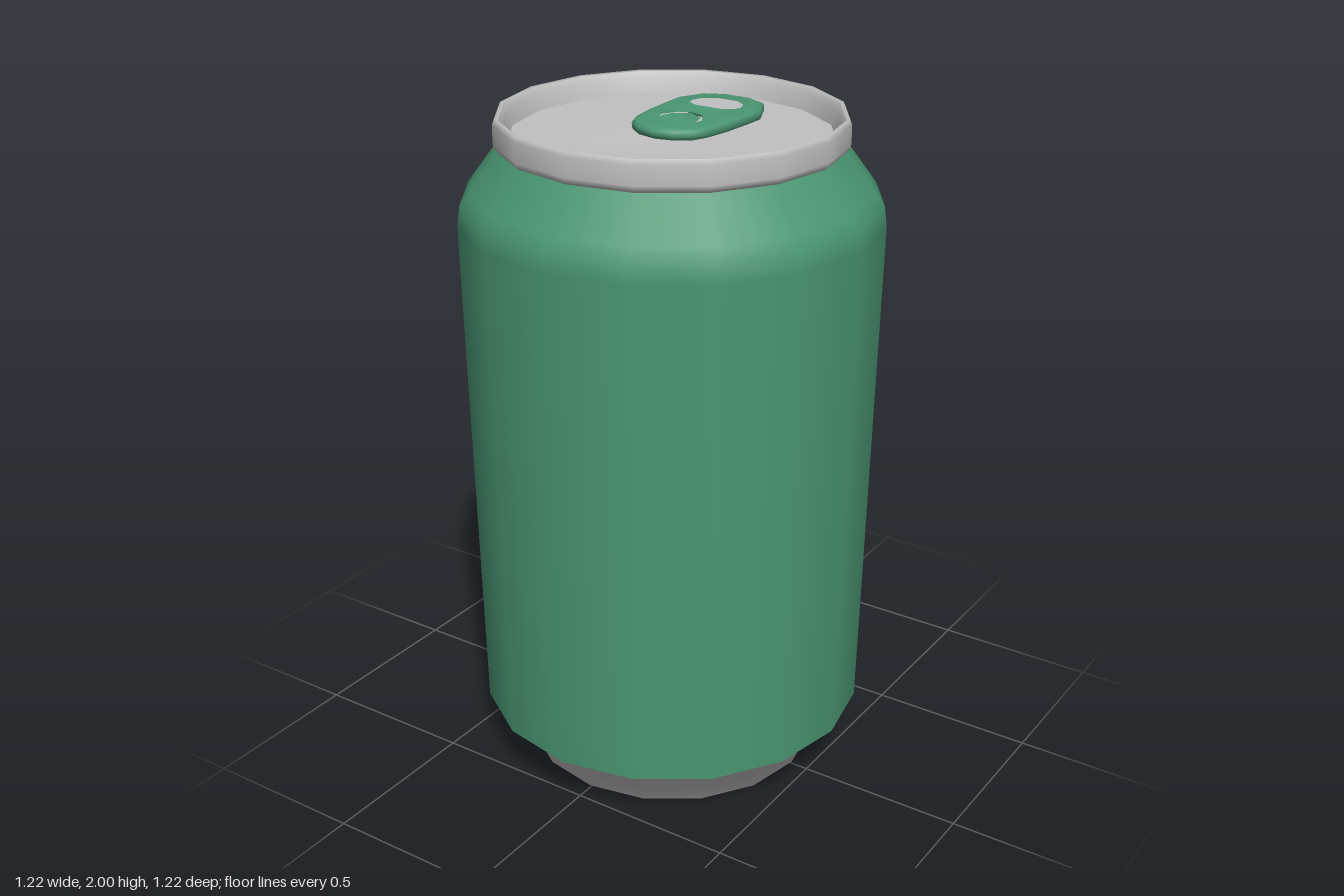
import * as THREE from 'three';
import { toCreasedNormals } from 'three/addons/utils/BufferGeometryUtils.js';

const SIDES = 16;
const green = new THREE.MeshStandardMaterial({ color: 0x4a9673 });
green.name = 'green paint';
const silver = new THREE.MeshStandardMaterial({ color: 0xc0c0c0 });
silver.name = 'silver metal';

const points = (list) => list.map(([x, y]) => new THREE.Vector2(x, y));

function lathe(name, profile, material) {
  const mesh = new THREE.Mesh(new THREE.LatheGeometry(points(profile), SIDES), material);
  mesh.name = name;
  return mesh;
}

// Closed outline from its right half, listed from the back end to the front end
function mirrored(half) {
  const left = half.filter(([x]) => x > 0).reverse().map(([x, z]) => [-x, z]);
  return points([...half, ...left].map(([x, z]) => [x, -z]));
}

// Lid panel with a shallow drinking-mouth dip towards the front
function makeLid() {
  const profile = [];
  for (let i = 0; i <= 9; i++) profile.push([0.46 * (1 - i / 9), 1.935]);
  const lid = lathe('lid', profile, silver);
  const geometry = lid.geometry.rotateY(Math.PI);
  const p = geometry.attributes.position;
  for (let i = 0; i < p.count; i++) {
    const d = Math.hypot(p.getX(i) / 0.2, (p.getZ(i) - 0.2) / 0.18);
    if (d < 1) p.setY(i, p.getY(i) - 0.012 * (1 - d * d));
  }
  geometry.computeVertexNormals();
  return lid;
}

// Pull tab with a finger hole and a crescent cut around the rivet tongue
function makeTab() {
  const shape = new THREE.Shape(mirrored([
    [0.04, -0.352], [0.105, -0.322], [0.142, -0.245], [0.141, -0.19], [0.135, -0.08],
    [0.122, 0], [0.105, 0.045], [0.06, 0.08], [0, 0.094],
  ]));
  shape.holes.push(
    new THREE.Path(mirrored([
      [0.04, -0.3], [0.08, -0.272], [0.095, -0.23], [0.085, -0.197], [0.05, -0.175],
    ])),
    new THREE.Path(mirrored([
      [0, -0.122], [0.05, -0.103], [0.08, -0.05], [0.072, -0.015], [0.05, -0.022],
      [0.038, -0.065], [0, -0.087],
    ])),
  );
  const geometry = new THREE.ExtrudeGeometry(shape, {
    depth: 0.012, bevelThickness: 0.01, bevelSize: 0.012, bevelOffset: -0.012, bevelSegments: 2,
  });
  geometry.rotateX(-Math.PI / 2);
  const tab = new THREE.Mesh(toCreasedNormals(geometry, 1), green);
  tab.name = 'pullTab';
  tab.position.y = 1.948;
  return tab;
}

export function createModel() {
  const can = new THREE.Group();
  can.name = 'drinkCan';
  can.add(
    // Domed underside, tapered foot and painted wall
    lathe('underside', [[0, 0.07], [0.2, 0.06], [0.34, 0.035], [0.43, 0]], silver),
    lathe('foot', [[0.43, 0], [0.447, 0.005], [0.466, 0.05], [0.582, 0.17]], silver),
    lathe('body', [[0.582, 0.17], [0.609, 1.7], [0.601, 1.76], [0.575, 1.795], [0.49, 1.91]], green),
    // Rolled rim and the wall dropping to the lid
    lathe('rim', [[0.48, 1.905], [0.497, 1.915], [0.501, 1.93], [0.501, 1.985], [0.494, 2], [0.485, 1.997]], silver),
    lathe('rimInnerWall', [[0.485, 1.997], [0.472, 1.98], [0.46, 1.935]], silver),
    makeLid(),
    makeTab(),
  );
  // Rivet joining the tab to the lid
  const rivet = new THREE.Mesh(new THREE.CylinderGeometry(0.03, 0.03, 0.025, 12), green);
  rivet.name = 'rivet';
  rivet.position.set(0, 1.945, -0.02);
  can.add(rivet);
  return can;
}
